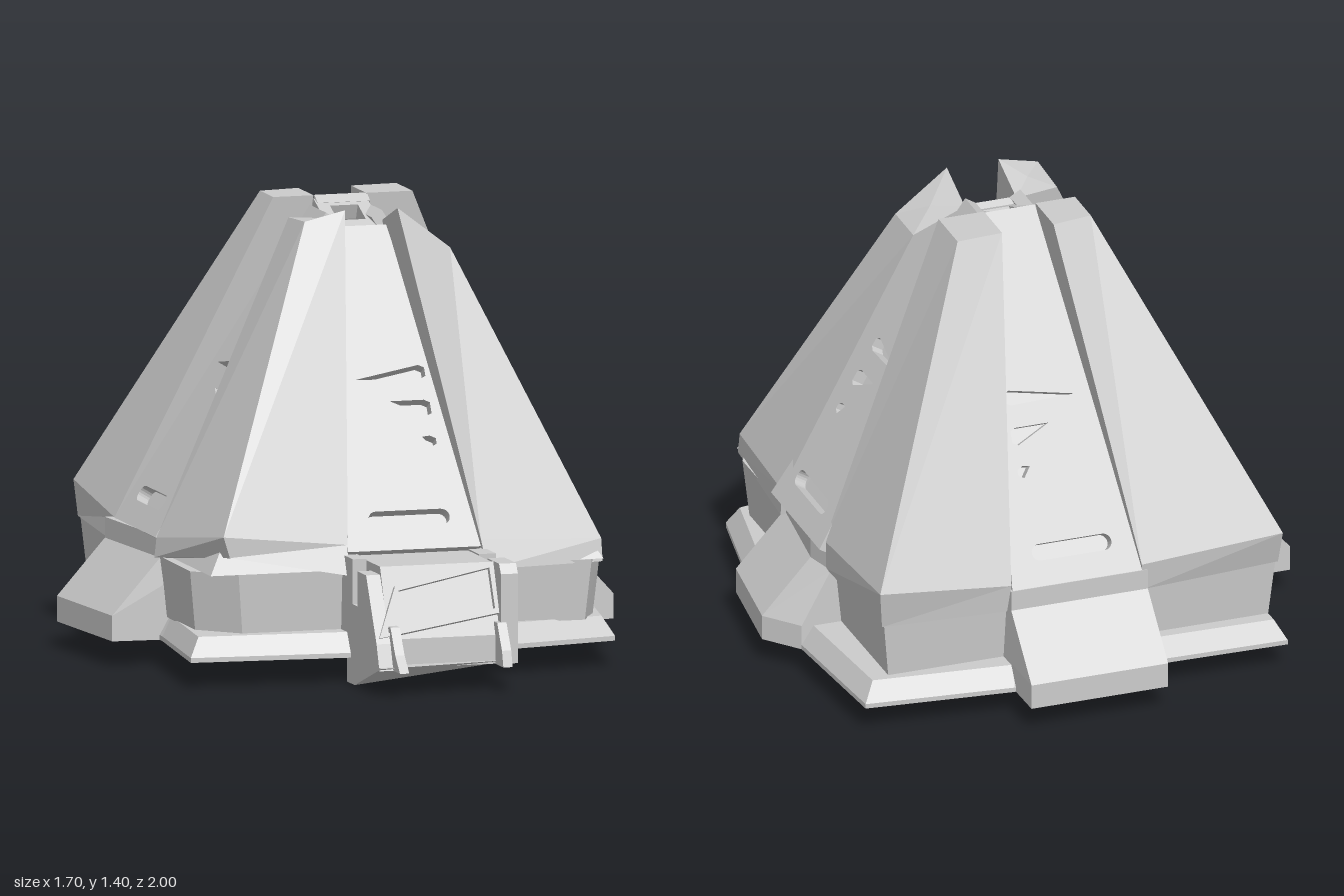
import * as THREE from 'three';

const mat = new THREE.MeshStandardMaterial({ color: 0xcccccc, flatShading: true, side: THREE.DoubleSide });

function add(parent, name, geometry) {
  const mesh = new THREE.Mesh(geometry, mat);
  mesh.name = name;
  parent.add(mesh);
  return mesh;
}

// Skin through rings of [x, y, z] points listed bottom to top, with fan caps
function loft(rings) {
  const n = rings[0].length;
  const area = rings[0].reduce((s, p, i) => {
    const q = rings[0][(i + 1) % n];
    return s + q[0] * p[2] - p[0] * q[2];
  }, 0);
  // Every ring runs counter-clockwise seen from above
  const loops = area < 0 ? rings.map(r => [...r].reverse()) : rings;
  const pos = [];
  const tri = (...pts) => pts.forEach(p => pos.push(...p));
  for (let k = 0; k + 1 < loops.length; k++)
    for (let i = 0; i < n; i++) {
      const j = (i + 1) % n, lo = loops[k], hi = loops[k + 1];
      tri(lo[i], lo[j], hi[j]);
      tri(lo[i], hi[j], hi[i]);
    }
  const cap = (ring, up) => {
    const c = [0, 1, 2].map(a => ring.reduce((s, p) => s + p[a], 0) / n);
    ring.forEach((p, i) => {
      const q = ring[(i + 1) % n];
      up ? tri(c, p, q) : tri(c, q, p);
    });
  };
  cap(loops[0], false);
  cap(loops[loops.length - 1], true);
  const g = new THREE.BufferGeometry();
  g.setAttribute('position', new THREE.Float32BufferAttribute(pos, 3));
  g.computeVertexNormals();
  return g;
}

const level = (pts, y) => pts.map(([x, z]) => [x, y, z]);
const rect = (x0, x1, z0, z1) => [[x0, z0], [x1, z0], [x1, z1], [x0, z1]];
const poly = pts => new THREE.Shape(pts.map(p => new THREE.Vector2(...p)));
const extrude = (shape, depth) => new THREE.ExtrudeGeometry(shape, { depth, bevelEnabled: false, curveSegments: 5 });

// Extrude a (z, y) side profile across x0..x1
function sideProfile(pts, x0, x1) {
  const g = extrude(poly(pts.map(([z, y]) => [-z, y])), x1 - x0);
  return g.rotateY(Math.PI / 2).translate(x0, 0, 0);
}

const RUN = 0.61;                   // horizontal run of a panel per unit of height
const SLOPE = Math.hypot(1, RUN);

// Sloping face panel with one long slot and a row of tapering slots
function panelGeometry(height, mirror) {
  const m = mirror ? -1 : 1;
  const v = y => (y - 0.33) * SLOPE;
  const shape = poly([[-0.215, v(0.4)], [0.215, v(0.4)], [0.085, height * SLOPE], [-0.085, height * SLOPE]]);
  const r = 0.026, c = v(0.49);
  const slot = new THREE.Path();
  slot.absarc(0.105, c, r, -Math.PI / 2, Math.PI / 2, false);
  slot.absarc(-0.105, c, r, Math.PI / 2, Math.PI * 1.5, false);
  slot.closePath();
  shape.holes.push(slot);
  // Each row: tip x, tip y, lower edge, upper edge
  [[-0.1, 0.89, 0.885, 0.925], [0, 0.825, 0.778, 0.825], [0.085, 0.72, 0.69, 0.722]].forEach(([tip, yt, y0, y1]) => {
    const hole = [[tip, v(yt)], [0.11, v(y0)], [0.128, v(y0 + 0.008)], [0.128, v(y1 - 0.008)], [0.11, v(y1)]];
    shape.holes.push(new THREE.Path(hole.map(([a, b]) => new THREE.Vector2(a * m, b))));
  });
  return extrude(shape, 0.04).translate(0, 0, -0.04);
}

export function createModel() {
  const model = new THREE.Group();
  model.name = 'pyramidBunker';

  // Irregular plinth with a bevelled rim
  const outline = [[-0.66, -0.85], [-0.65, -0.36], [-0.66, 0.13], [-0.71, 0.59], [-0.2, 0.63],
    [0.25, 0.62], [0.68, 0.53], [0.76, 0.09], [0.76, -0.36], [0.72, -0.82], [0.25, -0.87], [-0.2, -0.84]];
  const rim = outline.map(([x, z]) => [x * 0.95, -0.12 + (z + 0.12) * 0.95]);
  add(model, 'plinth', loft([level(outline, 0.08), level(outline, 0.095), level(rim, 0.155)]));

  // Lower wall, cut corners at the front, leaning out to meet the shells
  const wall = [[-0.645, -0.78], [-0.66, 0.42], [-0.54, 0.54], [0.6, 0.545], [0.655, 0.45], [0.645, -0.78]];
  const wallFoot = wall.map(([x, z]) => [x * 0.97, -0.12 + (z + 0.12) * 0.98]);
  add(model, 'lowerWall', loft([level(wallFoot, 0.15), level(wall, 0.34)]));

  // Inner core behind the panels
  add(model, 'core', loft([level(rect(-0.63, 0.64, -0.78, 0.54), 0.34), level(rect(-0.04, 0.06, -0.16, -0.06), 1.27)]));

  // Slotted panels: yaw, foot point, height, mirrored slots
  [['frontPanel', 0, 0.02, 0.61, 1, false], ['leftPanel', Math.PI / 2, 0.735, -0.12, 1.04, true],
    ['backPanel', Math.PI, 0.02, -0.86, 1.07, true], ['rightPanel', -Math.PI / 2, -0.715, -0.12, 1.04, false],
  ].forEach(([name, yaw, x, z, height, mirror]) => {
    const panel = add(model, name, panelGeometry(height, mirror));
    panel.rotation.set(-Math.atan(RUN), yaw, 0, 'YXZ');
    panel.position.set(x, 0.33, z);
  });

  // Corner shells: each ring is front/back seam, corner, side seam, inner point
  const shells = {
    frontRightShell: {
      top: [[-0.07, 1.4, 0.13], [-0.2, 1.37, 0.13], [-0.2, 1.36, -0.04], [-0.07, 1.34, -0.03]],
      knee: [[-0.19, 0.42, 0.55], [-0.59, 0.46, 0.545], [-0.67, 0.4, 0.1], [-0.19, 0.42, 0.1]],
      foot: [[-0.2, 0.33, 0.59], [-0.57, 0.395, 0.545], [-0.68, 0.34, 0.11], [-0.2, 0.33, 0.11]],
    },
    frontLeftShell: {
      top: [[0.1, 1.4, 0.13], [0.27, 1.27, 0.13], [0.27, 1.27, -0.03], [0.1, 1.34, -0.03]],
      knee: [[0.24, 0.42, 0.55], [0.64, 0.4, 0.515], [0.67, 0.42, 0.06], [0.24, 0.42, 0.06]],
      foot: [[0.25, 0.33, 0.59], [0.64, 0.33, 0.53], [0.67, 0.33, 0.07], [0.25, 0.33, 0.07]],
    },
    backLeftShell: {
      top: [[0.1, 1.4, -0.36], [0.25, 1.4, -0.37], [0.25, 1.4, -0.2], [0.1, 1.4, -0.2]],
      knee: [[0.24, 0.42, -0.82], [0.67, 0.46, -0.815], [0.67, 0.42, -0.32], [0.24, 0.42, -0.32]],
      foot: [[0.25, 0.33, -0.81], [0.655, 0.335, -0.79], [0.67, 0.33, -0.33], [0.25, 0.33, -0.33]],
    },
    backRightShell: {
      top: [[-0.07, 1.4, -0.36], [-0.2, 1.4, -0.34], [-0.2, 1.4, -0.2], [-0.07, 1.4, -0.2]],
      knee: [[-0.19, 0.42, -0.82], [-0.655, 0.45, -0.82], [-0.67, 0.4, -0.34], [-0.19, 0.42, -0.34]],
      foot: [[-0.2, 0.33, -0.81], [-0.65, 0.34, -0.79], [-0.68, 0.33, -0.35], [-0.2, 0.33, -0.35]],
    },
  };
  for (const [name, { top, knee, foot }] of Object.entries(shells))
    add(model, name, loft([foot, knee, top]));

  // Square vent in the tilted summit
  const vent = poly([[-0.085, -0.09], [0.085, -0.09], [0.085, 0.09], [-0.085, 0.09]]);
  vent.holes.push(new THREE.Path(poly([[-0.045, -0.045], [-0.045, 0.045], [0.045, 0.045], [0.045, -0.045]]).getPoints()));
  const summit = add(model, 'summitVent', extrude(vent, 0.05).rotateX(-Math.PI / 2).translate(0, -0.05, 0));
  summit.position.set(0.015, 1.355, -0.115);
  summit.rotation.x = 0.38;

  // Buttress ramps on three sides: footprint with the outer edge first, slope offset
  [['leftRamp', [[0.81, 0.09], [0.85, -0.25], [0.76, -0.36], [0.5, -0.36], [0.5, 0.09]], [0.16, 0]],
    ['backRamp', [[0.24, -1], [-0.21, -1], [-0.2, -0.85], [-0.2, -0.6], [0.25, -0.6]], [0, -0.18]],
    ['rightRamp', [[-0.81, 0.09], [-0.85, -0.36], [-0.7, -0.36], [-0.5, -0.36], [-0.5, 0.11]], [-0.155, 0]],
  ].forEach(([name, base, [dx, dz]]) => {
    const crest = base.map(([x, z], i) => (i < 2 ? [x - dx, z - dz] : i === 2 ? [x - dx * 0.6, z - dz * 0.2] : [x, z]));
    add(model, name, loft([level(base, 0.08), level(base, 0.16), level(crest, 0.335), level(crest, 0.4)]));
  });

  // Entrance porch with a sloping hatch
  const porch = new THREE.Group();
  porch.name = 'entrancePorch';
  model.add(porch);
  add(porch, 'porchBody', sideProfile([[0.45, 0.08], [0.88, 0.08], [0.88, 0.17], [0.79, 0.385], [0.45, 0.385]], -0.16, 0.2));
  add(porch, 'porchRightCheek', sideProfile([[0.45, 0.08], [0.93, 0.08], [0.9, 0.16], [0.79, 0.36], [0.7, 0.36], [0.7, 0.25], [0.65, 0.25], [0.65, 0.39], [0.45, 0.39]], -0.205, -0.16));
  add(porch, 'porchLeftCheek', sideProfile([[0.45, 0.08], [0.89, 0.08], [0.89, 0.36], [0.87, 0.39], [0.75, 0.39], [0.74, 0.11], [0.66, 0.11], [0.66, 0.39], [0.45, 0.39]], 0.2, 0.255));

  // Raised skewed frame around the hatch
  const frame = poly([[-0.195, 0], [0.2, 0.065], [0.2, 0.23], [-0.125, 0.165]]);
  frame.holes.push(new THREE.Path(poly([[-0.17, 0.015], [-0.115, 0.15], [0.185, 0.21], [0.188, 0.08]]).getPoints()));
  const hatch = add(porch, 'hatchFrame', extrude(frame, 0.02));
  hatch.position.set(0, 0.17, 0.88);
  hatch.rotation.x = -Math.atan2(0.09, 0.215);

  // Wedge keel under the porch, and two prongs in front
  add(porch, 'porchKeel', loft([
    [[-0.205, 0, 0.59], [-0.205, 0, 0.67], [0.255, 0.07, 0.67], [0.255, 0.07, 0.59]],
    [[-0.205, 0.09, 0.59], [-0.205, 0.09, 0.95], [0.255, 0.09, 0.88], [0.255, 0.09, 0.59]],
  ]));
  [[-0.145, 1], [0.2, 0.965]].forEach(([x, tip]) =>
    add(porch, 'prong', sideProfile([[0.85, 0.08], [tip, 0.08], [0.95, 0.13], [0.9, 0.21], [0.85, 0.21]], x - 0.015, x + 0.015)));

  return model;
}
